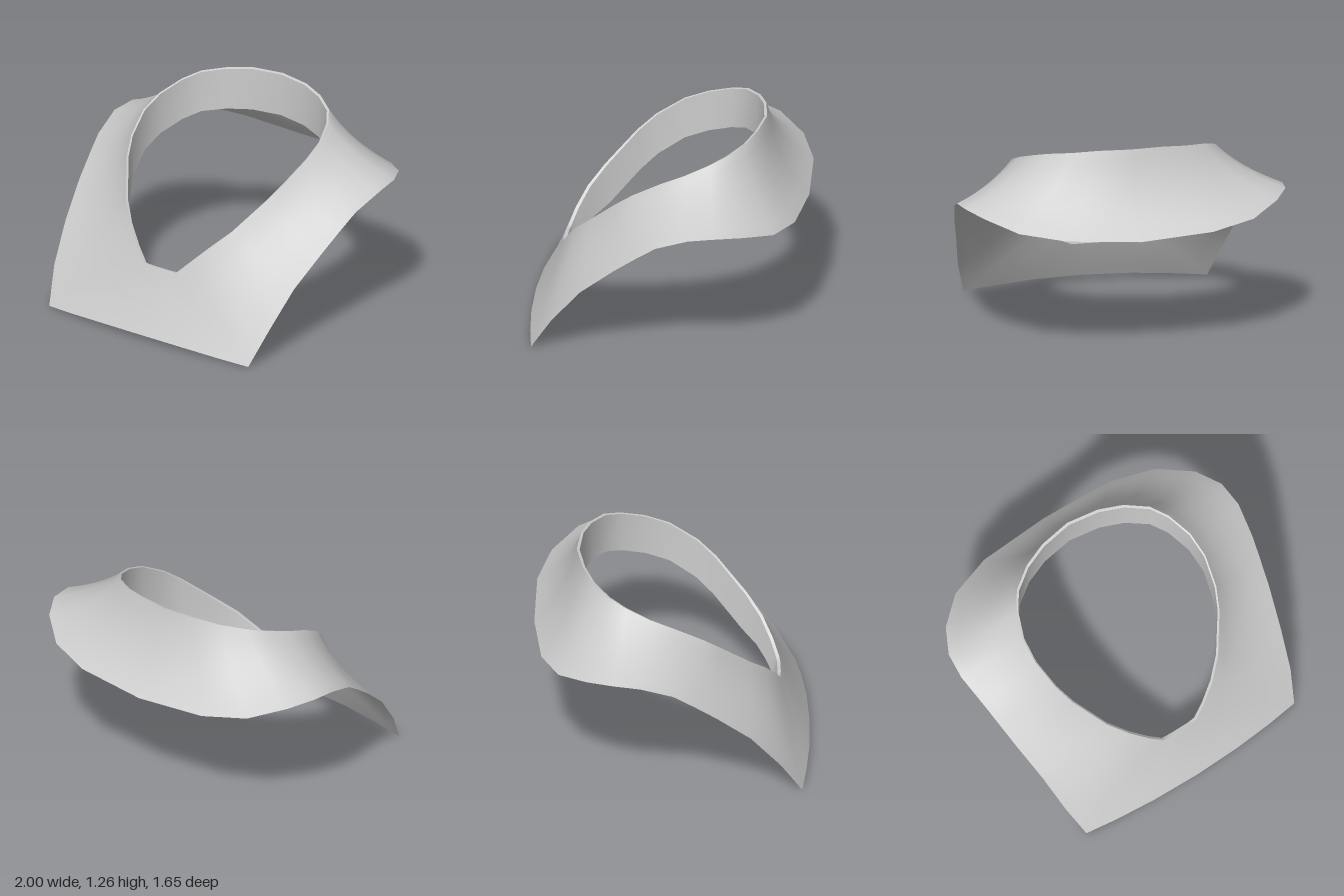
import * as THREE from 'three';

// Half of the yoke, front centre to back centre:
// [neck x,y,z,  outer hem x,y,z,  facing depth, sag of the cloth]
const STATIONS = [
  [0, 0.41, 0.65, 0, 0.03, 0.825, 0.11, 0.01],
  [0.06, 0.41, 0.65, 0.3, 0.025, 0.815, 0.11, 0.01],
  [0.12, 0.41, 0.645, 0.55, 0.012, 0.79, 0.11, 0.01],
  [0.2, 0.49, 0.61, 0.75, 0, 0.76, 0.15, 0.01],
  [0.3, 0.59, 0.55, 0.81, 0.21, 0.63, 0.2, 0.02],
  [0.4, 0.69, 0.46, 0.86, 0.43, 0.45, 0.25, 0.04],
  [0.53, 0.87, 0.28, 0.915, 0.61, 0.24, 0.26, 0.05],
  [0.58, 0.96, 0.17, 0.945, 0.715, 0.1, 0.26, 0.05],
  [0.615, 1.06, 0, 0.97, 0.8, -0.02, 0.26, 0.04],
  [0.605, 1.12, -0.15, 1, 0.875, -0.22, 0.26, 0.04],
  [0.55, 1.175, -0.3, 0.985, 0.89, -0.38, 0.26, 0.05],
  [0.48, 1.21, -0.4, 0.9, 0.87, -0.54, 0.26, 0.06],
  [0.35, 1.235, -0.49, 0.72, 0.815, -0.705, 0.265, 0.07],
  [0.2, 1.255, -0.545, 0.45, 0.78, -0.8, 0.27, 0.07],
  [0, 1.26, -0.575, 0, 0.755, -0.83, 0.27, 0.07],
];

// Mirror the half into a closed ring of stations
function fullRing() {
  const mirrored = STATIONS.slice(1, -1).reverse().map((s) => {
    const m = s.slice();
    m[0] *= -1;
    m[3] *= -1;
    return m;
  });
  return [...STATIONS, ...mirrored];
}

// Skin a list of closed rows of points with quads
function loft(rows) {
  const n = rows[0].length;
  const positions = rows.flat().flatMap((p) => [p.x, p.y, p.z]);
  const index = [];
  for (let r = 0; r < rows.length - 1; r++) {
    for (let i = 0; i < n; i++) {
      const j = (i + 1) % n;
      const a = r * n + i, b = r * n + j, c = a + n, d = b + n;
      index.push(a, c, b, b, c, d);
    }
  }
  const geometry = new THREE.BufferGeometry();
  geometry.setAttribute('position', new THREE.Float32BufferAttribute(positions, 3));
  geometry.setIndex(index);
  geometry.computeVertexNormals();
  return geometry;
}

export function createModel() {
  const group = new THREE.Group();
  group.name = 'neckYoke';
  const material = new THREE.MeshStandardMaterial({ color: 0xcccccc, side: THREE.DoubleSide });
  const ring = fullRing();
  const add = (name, rows) => {
    const mesh = new THREE.Mesh(loft(rows), material);
    mesh.name = name;
    group.add(mesh);
  };

  // Outer cloth: a slightly hollow curve from neckline to hem
  const sections = ring.map(([nx, ny, nz, ox, oy, oz, , sag]) => {
    const neck = new THREE.Vector3(nx, ny, nz);
    const hem = new THREE.Vector3(ox, oy, oz);
    const control = neck.clone().lerp(hem, 0.45);
    const inward = new THREE.Vector3(-control.x, 0, -control.z).normalize();
    control.addScaledVector(inward, sag * 0.8);
    control.y -= sag;
    return new THREE.QuadraticBezierCurve3(neck, control, hem);
  });
  const steps = 8;
  const shellRows = [];
  for (let r = 0; r <= steps; r++) shellRows.push(sections.map((c) => c.getPoint(r / steps)));
  add('yokeShell', shellRows);

  // Turned neckline edge and the facing band hanging inside it
  const neckRow = shellRows[0];
  const rimRow = ring.map(([x, y, z]) => new THREE.Vector3(x * 0.985, y - 0.005, z * 0.97));
  const facingRow = ring.map(([x, y, z, , , , depth]) =>
    new THREE.Vector3(x * 0.98, y - depth, z * (z > 0 ? 0.93 : 0.965)));
  add('necklineEdge', [rimRow, neckRow]);
  add('neckFacing', [facingRow, rimRow]);

  return group;
}
